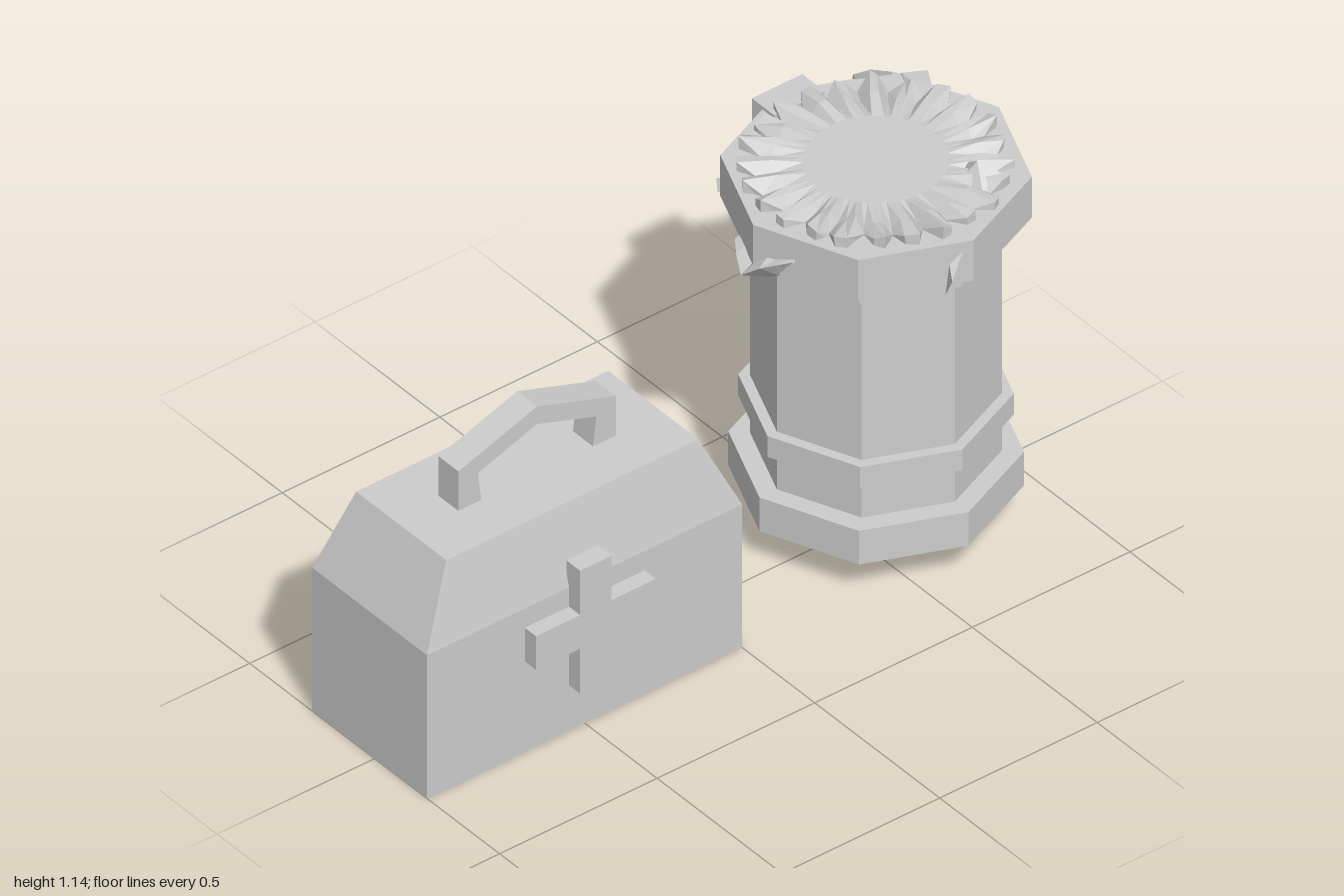
import * as THREE from 'three';
import { ConvexGeometry } from 'three/addons/geometries/ConvexGeometry.js';

const CX = -0.02, CZ = -0.607; // barrel axis

export function createModel() {
  const root = new THREE.Group();
  const mat = new THREE.MeshStandardMaterial({ color: 0xcccccc, flatShading: true });
  const matDouble = new THREE.MeshStandardMaterial({ color: 0xcccccc, flatShading: true, side: THREE.DoubleSide });

  const add = (name, geo, parent = root, material = mat) => {
    const mesh = new THREE.Mesh(geo, material);
    mesh.name = name;
    parent.add(mesh);
    return mesh;
  };
  const box = (name, x0, x1, y0, y1, z0, z1, parent) =>
    add(name, new THREE.BoxGeometry(x1 - x0, y1 - y0, z1 - z0), parent)
      .position.set((x0 + x1) / 2, (y0 + y1) / 2, (z0 + z1) / 2);
  const chunk = (name, pts, parent) =>
    add(name, new ConvexGeometry(pts.map((p) => new THREE.Vector3(...p))), parent);

  // Extrudes a (z, y) outline along x
  const sideExtrude = (outline, x0, x1) => {
    const shape = new THREE.Shape(outline.map(([z, y]) => new THREE.Vector2(-z, y)));
    const geo = new THREE.ExtrudeGeometry(shape, { depth: x1 - x0, bevelEnabled: false });
    return geo.rotateY(Math.PI / 2).translate(x0, 0, 0);
  };

  // Joins closed loops of points into a skin with capped ends
  const loft = (loops) => {
    const n = loops[0].length, index = [];
    for (let i = 0; i < loops.length - 1; i++)
      for (let j = 0; j < n; j++) {
        const a = i * n + j, b = i * n + (j + 1) % n;
        index.push(a, b, a + n, b, b + n, a + n);
      }
    const last = (loops.length - 1) * n;
    for (let j = 1; j < n - 1; j++) index.push(0, j + 1, j, last, last + j, last + j + 1);
    const geo = new THREE.BufferGeometry();
    geo.setAttribute('position', new THREE.Float32BufferAttribute(loops.flat(2), 3));
    geo.setIndex(index);
    const flat = geo.toNonIndexed();
    flat.computeVertexNormals();
    return flat;
  };

  // First aid case: straight body with a tapered lid
  const medical = new THREE.Group();
  medical.name = 'firstAidCase';
  root.add(medical);
  const rect = (x0, x1, y, z0, z1) => [[x0, y, z0], [x0, y, z1], [x1, y, z1], [x1, y, z0]];
  add('caseBody', loft([
    rect(-0.25, 0.21, 0, 0, 1),
    rect(-0.25, 0.21, 0.447, 0, 1),
    rect(-0.2, 0.16, 0.667, 0.1, 0.9),
  ]), medical);

  // Bent carrying handle
  add('handle', sideExtrude([
    [0.75, 0.66], [0.75, 0.79], [0.5, 0.875], [0.25, 0.79], [0.25, 0.66],
    [0.324, 0.66], [0.312, 0.755], [0.5, 0.82], [0.688, 0.755], [0.676, 0.66],
  ], -0.06, 0.02), medical);

  // Raised cross on the +x side
  add('cross', sideExtrude([
    [0.55, 0.525], [0.45, 0.525], [0.45, 0.387], [0.31, 0.387], [0.31, 0.282], [0.45, 0.282],
    [0.45, 0.142], [0.55, 0.142], [0.55, 0.282], [0.69, 0.282], [0.69, 0.387], [0.55, 0.387],
  ], 0.2, 0.255), medical);

  // Octagonal trash can built from stacked bands
  const can = new THREE.Group();
  can.name = 'trashCan';
  root.add(can);
  const profile = [
    [0, 0.115], [0.37, 0.115], [0.37, 0.22], [0.315, 0.22], [0.315, 0.335], [0.345, 0.335],
    [0.345, 0.4], [0.315, 0.4], [0.315, 0.908], [0.345, 0.908], [0.345, 0.953], [0.39, 0.953],
    [0.39, 1.08], [0, 1.08],
  ].map(([r, y]) => new THREE.Vector2(r, y));
  add('canBody', new THREE.LatheGeometry(profile, 8), can).position.set(CX, 0, CZ);
  box('rimLatch', -0.42, -0.33, 0.94, 1.09, -0.69, -0.53, can);

  // Jagged heap: flat middle with radial folds running to the rim
  let seed = 7;
  const rand = () => (seed = (seed * 16807) % 2147483647) / 2147483647;
  const steps = 72;
  const rings = [[], [], [], []];
  for (let i = 0; i < steps; i++) {
    const a = (-i / steps) * Math.PI * 2;
    const high = i % 3 !== 0;
    const put = (ring, r, y, twist = 0) =>
      ring.push([CX + r * Math.cos(a + twist), y, CZ + r * Math.sin(a + twist)]);
    const edge = (high ? 0.325 : 0.285) + rand() * 0.025;
    put(rings[0], edge, 1.06);
    put(rings[1], edge, high ? 1.098 + rand() * 0.02 : 1.083, (rand() - 0.5) * 0.04);
    put(rings[2], 0.26, high ? 1.1 + rand() * 0.016 : 1.085);
    put(rings[3], 0.18, 1.1);
  }
  add('trashHeap', loft(rings), can, matDouble);

  // Peel draped over the front of the rim
  const section = (x, yTop, yLow, zOut, lean) =>
    [[x - lean, yTop, -0.27], [x, (yTop + yLow) / 2, zOut], [x + lean, yLow, -0.25]];
  add('peel', loft([
    section(-0.135, 0.957, 0.95, -0.25, 0.003),
    section(-0.085, 0.968, 0.928, -0.215, 0.01),
    section(-0.025, 0.965, 0.908, -0.182, 0.015),
    section(0.025, 1.01, 0.945, -0.2, 0.02),
    section(0.06, 1.008, 0.985, -0.225, 0.01),
    section(0.092, 1.018, 1.005, -0.255, 0.002),
  ]), can, matDouble);

  // Scraps poking out around the rim
  chunk('sideScrap', [
    [0.34, 0.99, -0.56], [0.36, 1.05, -0.58], [0.42, 1.03, -0.5],
    [0.38, 0.96, -0.51], [0.35, 0.97, -0.55], [0.37, 1.04, -0.53],
  ], can);
  chunk('topScrap', [
    [0.13, 1.1, -0.78], [0.18, 1.138, -0.77], [0.23, 1.11, -0.81],
    [0.24, 1.08, -0.74], [0.16, 1.08, -0.72],
  ], can);
  chunk('cornerScrap', [
    [-0.29, 0.95, -0.36], [-0.33, 0.97, -0.35], [-0.31, 1.0, -0.33],
    [-0.34, 0.955, -0.4], [-0.305, 0.96, -0.33],
  ], can);
  chunk('crumpledPaper', [
    [-0.19, 1.03, -0.93], [-0.27, 1.06, -0.97], [-0.33, 1.03, -0.93], [-0.3, 0.95, -0.95],
    [-0.22, 0.96, -0.9], [-0.25, 1.11, -0.87],
  ], can);
  chunk('crumpledPaperSide', [
    [-0.29, 1.09, -0.87], [-0.36, 1.06, -0.86], [-0.39, 1.0, -0.82], [-0.34, 0.94, -0.84],
    [-0.29, 0.97, -0.93], [-0.33, 1.1, -0.78],
  ], can);
  chunk('crumpledPaperTip', [
    [-0.27, 0.97, -0.93], [-0.34, 0.97, -0.87], [-0.31, 0.89, -0.88], [-0.27, 0.93, -0.86],
  ], can);

  return root;
}
